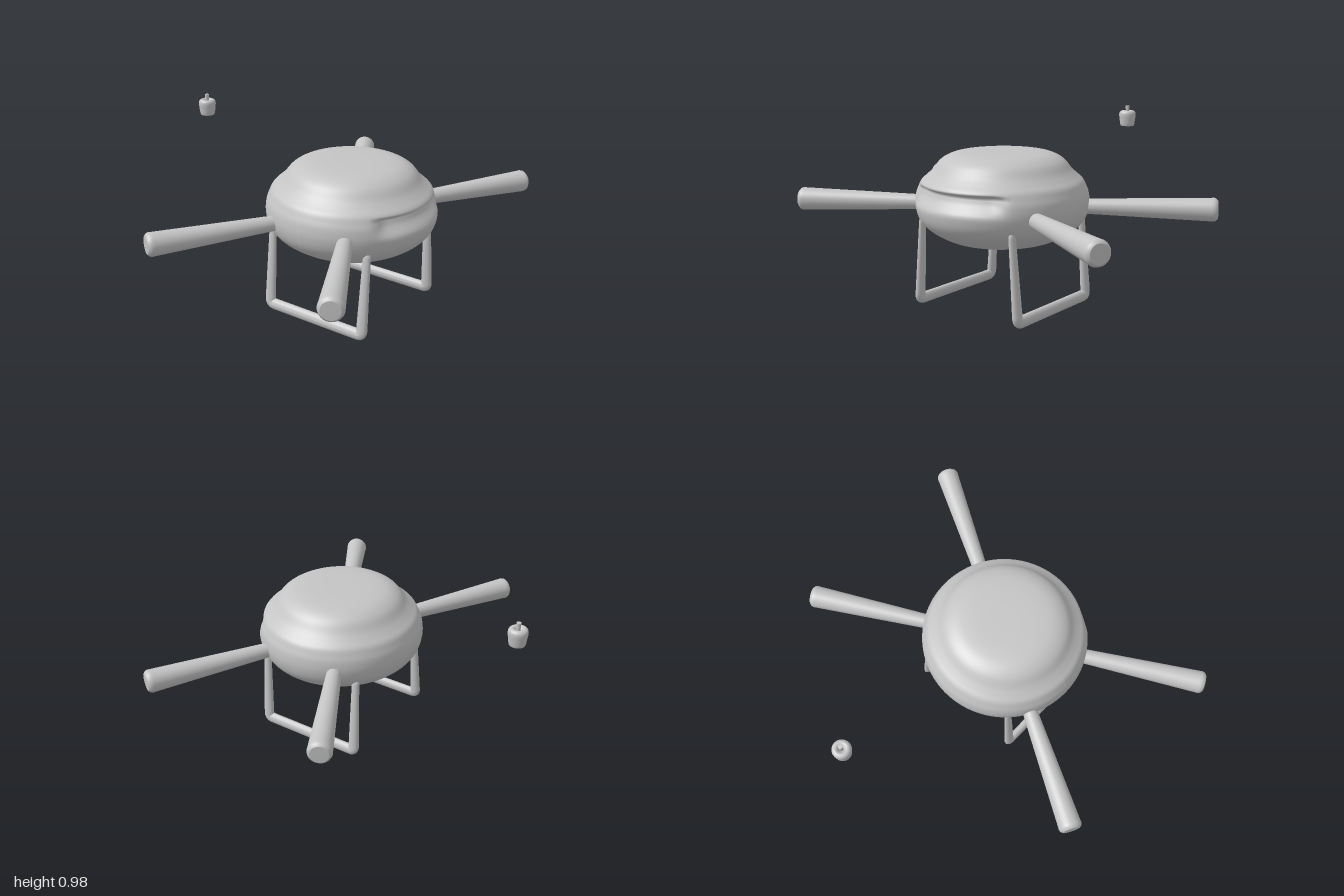
import * as THREE from 'three';

const V2 = (x, y) => new THREE.Vector2(x, y);
const CX = 0.267; // drone centre on x

function smoothProfile(points, n) {
  return new THREE.SplineCurve(points.map(p => V2(p[0], p[1]))).getPoints(n)
    .map(p => V2(Math.max(p.x, 0), p.y));
}

// Reshapes every vertex by a rule, then refreshes the normals
function deform(geo, rule) {
  const pos = geo.attributes.position, v = new THREE.Vector3();
  for (let i = 0; i < pos.count; i++) {
    rule(v.fromBufferAttribute(pos, i));
    pos.setXYZ(i, v.x, v.y, v.z);
  }
  geo.computeVertexNormals();
  return geo;
}

export function createModel() {
  const model = new THREE.Group();
  const grey = new THREE.MeshStandardMaterial({ color: 0xc4c4c4 });
  grey.name = 'light grey';
  const add = (geo, name, parent = model) => {
    const mesh = new THREE.Mesh(geo, grey);
    mesh.name = name;
    parent.add(mesh);
    return mesh;
  };

  // Body: domed disc with a shoulder ridge
  const profile = smoothProfile([
    [0, 0.333], [0.10, 0.336], [0.20, 0.346], [0.30, 0.372], [0.39, 0.425],
    [0.438, 0.48], [0.457, 0.545], [0.454, 0.605], [0.440, 0.645], [0.424, 0.677],
    [0.395, 0.703], [0.365, 0.732], [0.325, 0.78], [0.27, 0.810], [0.20, 0.822],
    [0.10, 0.826], [0, 0.826]], 80);
  const bodyGeo = deform(new THREE.LatheGeometry(profile, 96), v => {
    // Recess under the ridge on the +x side
    const r = Math.hypot(v.x, v.z);
    if (r < 0.3) return;
    const side = THREE.MathUtils.smoothstep(v.x / r, 0.72, 0.86);
    const band = THREE.MathUtils.smoothstep(v.y, 0.55, 0.625)
      * (1 - THREE.MathUtils.smoothstep(v.y, 0.645, 0.668));
    const k = 1 - 0.085 * side * band;
    v.x *= k;
    v.z *= k;
  });
  add(bodyGeo, 'body').position.x = CX;

  // Arms: tapered rods, thicker at the bevelled tip
  const L = 0.68;
  const armGeo = new THREE.LatheGeometry([
    V2(0, 0), V2(0.040, 0), V2(0.040, 0.001), V2(0.061, L - 0.034), V2(0.062, L - 0.022),
    V2(0.058, L - 0.01), V2(0.048, L - 0.001), V2(0.046, L), V2(0, L)], 32);
  for (const sx of [-1, 1]) for (const sz of [-1, 1]) {
    const dir = new THREE.Vector3(sx * 0.493, 0, sz * 0.87).normalize();
    const tip = new THREE.Vector3(CX + sx * 0.552, 0.541, sz * 0.972);
    const arm = add(armGeo, (sz > 0 ? 'front' : 'back') + (sx > 0 ? 'Left' : 'Right') + 'Arm');
    arm.quaternion.setFromUnitVectors(new THREE.Vector3(0, 1, 0), dir);
    arm.position.copy(tip).addScaledVector(dir, -L);
  }

  // Landing skids: one U-shaped bar at the front and one at the back
  const X = 0.297, B = 0.031, C = 0.025, T = 0.458;
  const P = (x, y) => new THREE.Vector3(x, y, 0);
  const path = new THREE.CurvePath();
  path.add(new THREE.LineCurve3(P(-X, T), P(-X, B + C)));
  path.add(new THREE.QuadraticBezierCurve3(P(-X, B + C), P(-X, B), P(-X + C, B)));
  path.add(new THREE.LineCurve3(P(-X + C, B), P(X - C, B)));
  path.add(new THREE.QuadraticBezierCurve3(P(X - C, B), P(X, B), P(X, B + C)));
  path.add(new THREE.LineCurve3(P(X, B + C), P(X, T)));
  for (const s of [1, -1]) {
    const skid = new THREE.Group();
    skid.name = s > 0 ? 'frontSkid' : 'backSkid';
    skid.position.x = CX;
    model.add(skid);
    // Legs thin out upward and lean toward the body
    const shape = v => {
      const side = Math.sign(v.x) * X;
      const k = 1 - 0.75 * Math.max(0, v.y - 0.06);
      if (v.y > 0.06) v.x = side + (v.x - side) * k;
      v.z = v.z * 0.72 * k + s * (0.335 - 0.075 * v.y);
    };
    add(deform(new THREE.TubeGeometry(path, 160, 0.031, 16), shape), 'skidBar', skid);
    for (const sx of [-1, 1]) {
      const cap = new THREE.SphereGeometry(0.031, 16, 8, 0, Math.PI * 2, 0, Math.PI / 2);
      cap.translate(sx * X, T, 0);
      add(deform(cap, shape), 'legCap', skid);
    }
  }

  // Small floating fruit with a dimpled top and a stem
  const fruit = new THREE.Group();
  fruit.name = 'fruit';
  fruit.position.set(-0.834, 0.858, -0.087);
  model.add(fruit);
  const fruitProfile = smoothProfile([
    [0, 0.004], [0.02, 0.002], [0.036, 0.001], [0.042, 0.008], [0.047, 0.04], [0.050, 0.07],
    [0.046, 0.086], [0.034, 0.094], [0.022, 0.091], [0.010, 0.078], [0, 0.074]], 40);
  add(new THREE.LatheGeometry(fruitProfile, 32), 'fruitFlesh', fruit);
  add(new THREE.CylinderGeometry(0.012, 0.009, 0.055, 16), 'stem', fruit).position.y = 0.096;

  return model;
}
